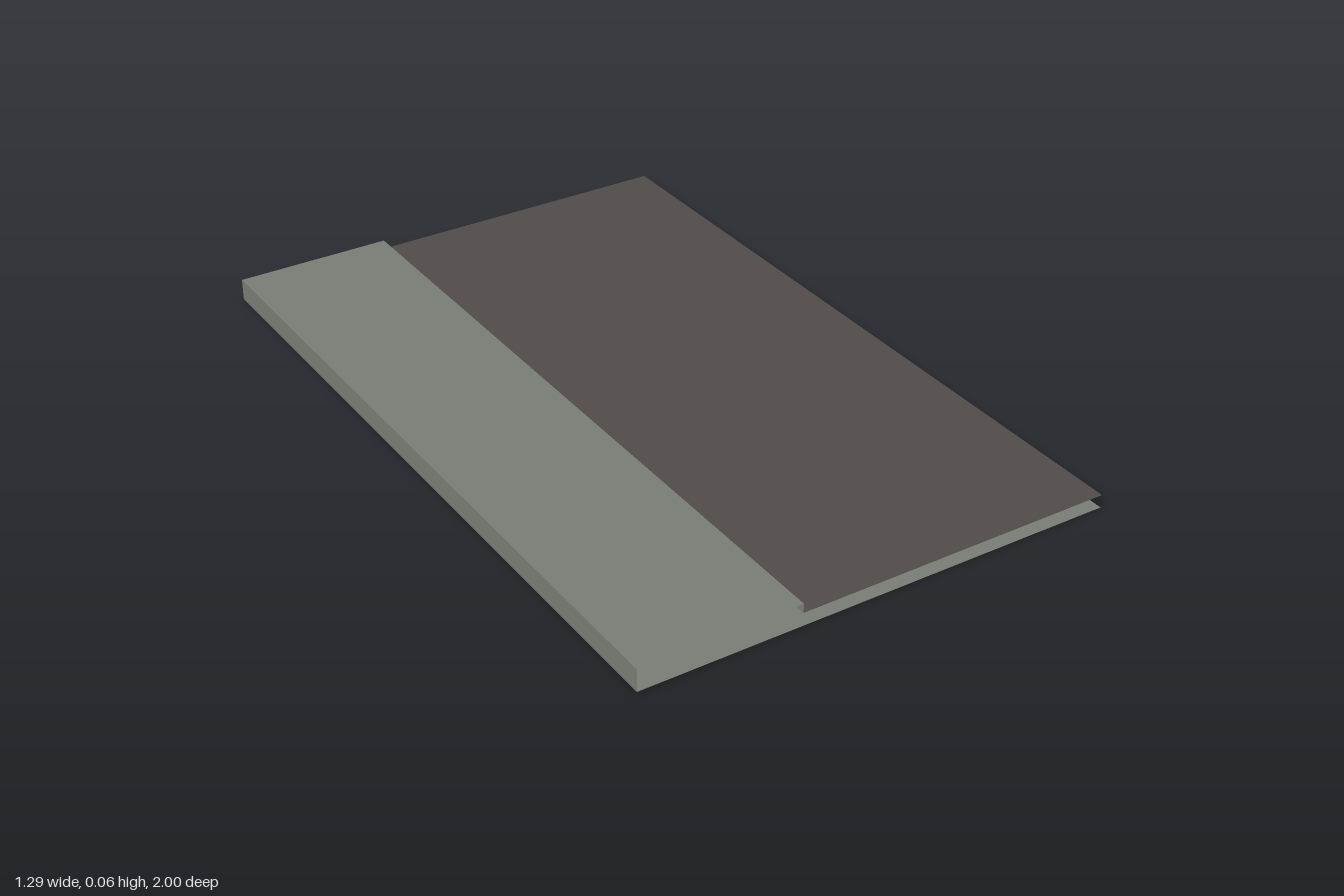
import * as THREE from 'three';

export function createModel() {
  const group = new THREE.Group();
  const paving = new THREE.MeshStandardMaterial({ color: 0x777c74, side: THREE.DoubleSide });
  paving.name = 'greyGreenPaving';
  const asphalt = new THREE.MeshStandardMaterial({ color: 0x504b49, side: THREE.DoubleSide });
  asphalt.name = 'darkAsphalt';

  const left = -0.643, kerb = -0.215, right = 0.643;
  const roadY = 0.035, topY = 0.06, length = 2;

  // A single-surface strip running along z between two points of the section
  function strip(name, x0, y0, x1, y1, material) {
    const geometry = new THREE.PlaneGeometry(Math.hypot(x1 - x0, y1 - y0), length);
    geometry.rotateX(-Math.PI / 2);
    geometry.rotateZ(Math.atan2(y1 - y0, x1 - x0));
    const mesh = new THREE.Mesh(geometry, material);
    mesh.position.set((x0 + x1) / 2, (y0 + y1) / 2, 0);
    mesh.name = name;
    group.add(mesh);
  }

  // Open-ended street section: base, raised pavement and lower road
  strip('base', left, 0, right, 0, paving);
  strip('outerWall', left, 0, left, topY, paving);
  strip('pavementTop', left, topY, kerb, topY, paving);
  strip('kerbFace', kerb, topY, kerb, roadY, paving);
  strip('roadSurface', kerb, roadY, right, roadY, asphalt);

  return group;
}
